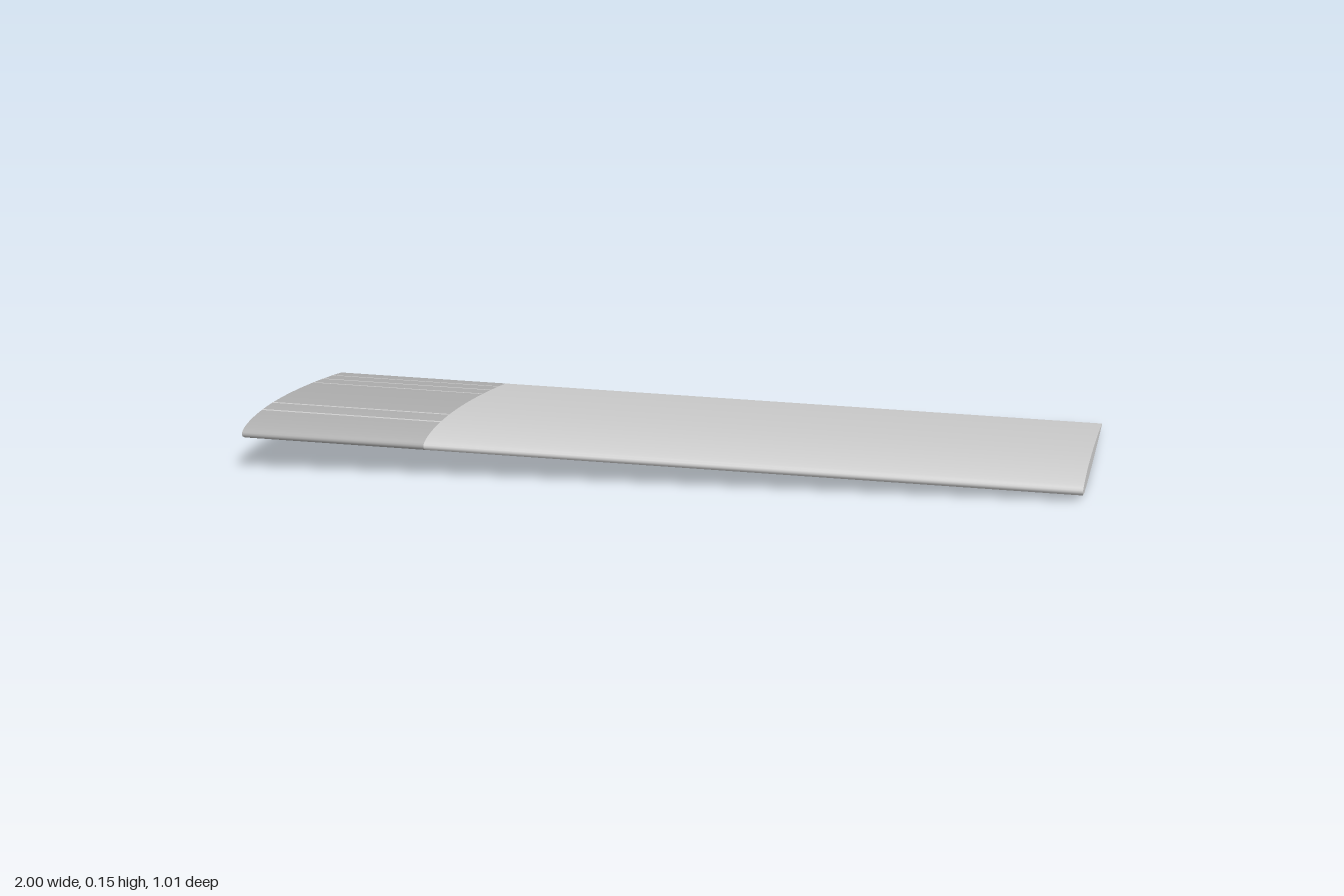
import * as THREE from 'three';

const CHORD = 0.475, N = 28, SEAM = -0.56;

// Height of the aerofoil at chord fraction s; side is +1 on top, -1 below
function height(s, side) {
  const thick = 0.625 * CHORD * (0.2969 * Math.sqrt(s) - 0.126 * s - 0.3516 * s ** 2 + 0.2843 * s ** 3 - 0.1015 * s ** 4);
  const p = 0.4, k = s < p ? p : 1 - p;
  const camber = 0.009 * CHORD * (1 - ((s - p) / k) ** 2);
  return 0.0297 - 0.0135 * s + camber + side * (thick + 0.0012 * s);
}

// Point on the swept, sloping wing
const point = (x, s, side, lift = 0) =>
  [x, height(s, side) + side * lift + 0.045 * (1 - x), 0.24 - 0.27 * x - s * CHORD];

// Chord fractions from the trailing edge to the nose, closer together at the ends
const fractions = Array.from({ length: N + 1 }, (_, i) => (1 + Math.cos(Math.PI * i / N)) / 2);
const halfRow = (x, side) => fractions.map(s => point(x, s, side));
const fullRow = x => [...halfRow(x, 1), ...halfRow(x, -1).reverse().slice(1)];

// Surface stretched between two rows of points
function loft(name, a, b, material) {
  const n = a.length, index = [];
  for (let j = 0; j < n - 1; j++) index.push(j, j + 1, n + j, j + 1, n + j + 1, n + j);
  const g = new THREE.BufferGeometry();
  g.setAttribute('position', new THREE.Float32BufferAttribute([...a, ...b].flat(), 3));
  g.setIndex(index);
  g.computeVertexNormals();
  const mesh = new THREE.Mesh(g, material);
  mesh.name = name;
  return mesh;
}

export function createModel() {
  const wing = new THREE.Group();
  wing.name = 'wing';
  const light = new THREE.MeshStandardMaterial({ color: 0xcccccc });
  const dark = new THREE.MeshStandardMaterial({ color: 0xadadad });

  // Two spanwise sections, each with a skin and a blunt trailing edge
  for (const [name, x0, x1, mat] of [['tipPanel', -1, SEAM, dark], ['mainPanel', SEAM, 1, light]]) {
    const section = new THREE.Group();
    section.name = name;
    section.add(loft(name + 'Skin', fullRow(x0), fullRow(x1), mat));
    const edge = x => [point(x, 1, -1), point(x, 1, 1)];
    section.add(loft(name + 'TrailingEdge', edge(x0), edge(x1), mat));
    wing.add(section);
  }

  // Flat end caps
  wing.add(loft('rightEndCap', halfRow(-1, -1), halfRow(-1, 1), dark));
  wing.add(loft('leftEndCap', halfRow(1, 1), halfRow(1, -1), light));

  // Thin pale stripes along the darker section, above and below
  for (const side of [1, -1]) {
    for (const s of [0.2, 0.3, 0.7, 0.8, 0.9]) {
      const ends = [s + 0.006 * side, s - 0.006 * side];
      const row = x => ends.map(t => point(x, t, side, 0.0006));
      wing.add(loft('stripe', row(-1), row(SEAM), light));
    }
  }
  return wing;
}
